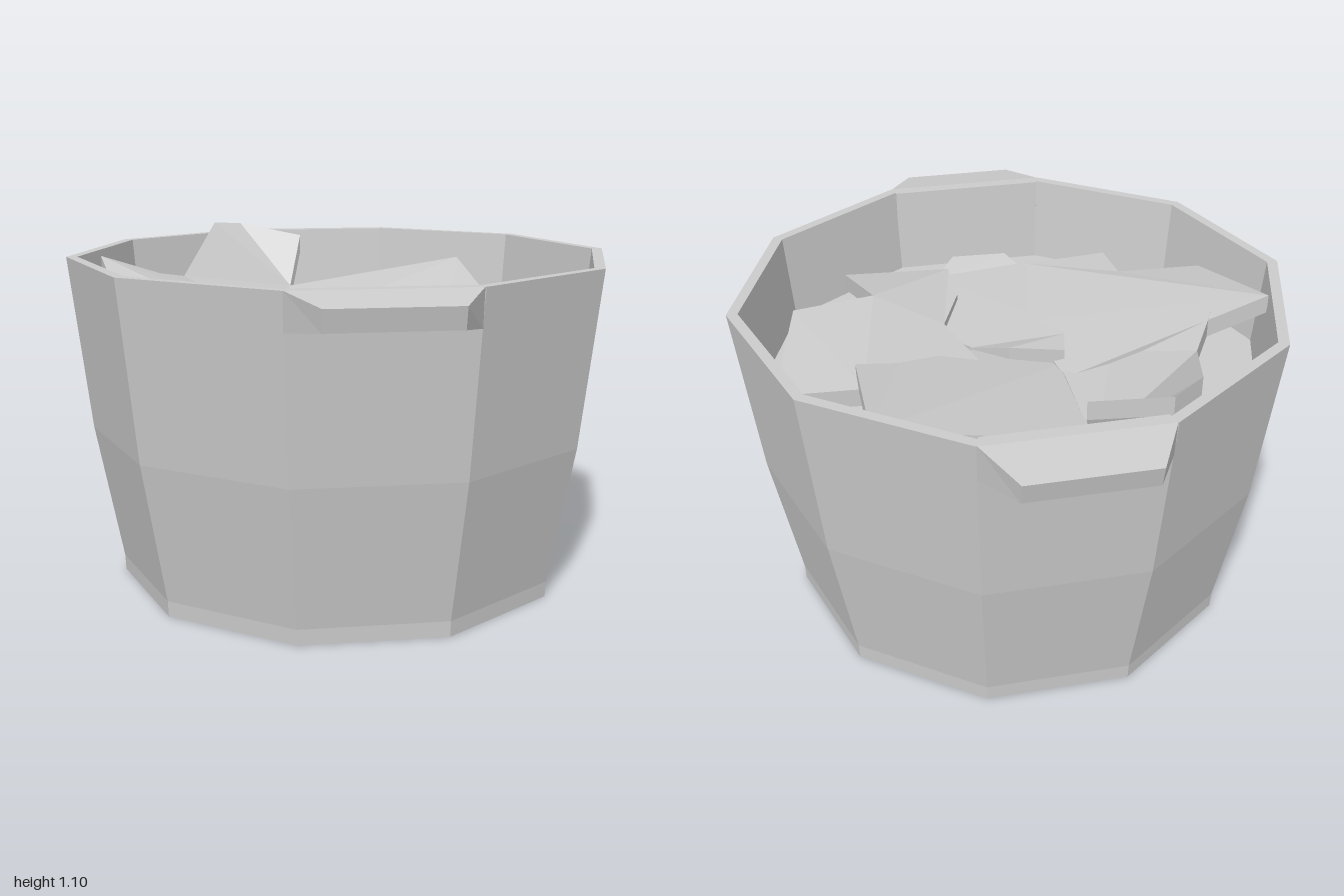
import * as THREE from 'three';

const material = new THREE.MeshStandardMaterial({ color: 0xcccccc, flatShading: true });

function addMesh(parent, geometry, name) {
  const flat = geometry.index ? geometry.toNonIndexed() : geometry;
  flat.computeVertexNormals();
  const mesh = new THREE.Mesh(flat, material);
  mesh.name = name;
  parent.add(mesh);
  return mesh;
}

// Slab with a free-form top outline of [x, y, z] corners and a given thickness
function slab(outline, thickness = 0.06) {
  let top = outline.map((p) => new THREE.Vector3(...p));
  const flatten = (pts) => pts.map((p) => new THREE.Vector2(p.x, -p.z));
  if (THREE.ShapeUtils.isClockWise(flatten(top))) top.reverse();
  const n = top.length;
  const positions = [];
  for (const p of top) positions.push(p.x, p.y, p.z);
  for (const p of top) positions.push(p.x, p.y - thickness, p.z);
  const index = [];
  for (const [a, b, c] of THREE.ShapeUtils.triangulateShape(flatten(top), [])) {
    index.push(a, b, c, a + n, c + n, b + n);
  }
  for (let i = 0; i < n; i++) {
    const j = (i + 1) % n;
    index.push(i, i + n, j + n, i, j + n, j);
  }
  const g = new THREE.BufferGeometry();
  g.setAttribute('position', new THREE.Float32BufferAttribute(positions, 3));
  g.setIndex(index);
  return g;
}

// Tapered grip: rectangular section shrinking from the wall outwards
function handleGeometry() {
  const sections = [
    { w: 0.26, z0: 0.8, z1: 0.8, y0: 0.945, y1: 1.06 },
    { w: 0.27, z0: 0.83, z1: 0.842, y0: 0.945, y1: 1.06 },
    { w: 0.187, z0: 0.985, z1: 1.0, y0: 0.97, y1: 1.035 },
  ];
  const positions = [];
  for (const { w, z0, z1, y0, y1 } of sections) {
    positions.push(-w, y0, z0, w, y0, z0, w, y1, z1, -w, y1, z1);
  }
  const index = [];
  for (let s = 0; s < 2; s++) {
    for (let i = 0; i < 4; i++) {
      const a = s * 4 + i, b = s * 4 + ((i + 1) % 4);
      index.push(a, b, b + 4, a, b + 4, a + 4);
    }
  }
  index.push(8, 9, 10, 8, 10, 11);
  const g = new THREE.BufferGeometry();
  g.setAttribute('position', new THREE.Float32BufferAttribute(positions, 3));
  g.setIndex(index);
  return g;
}

export function createModel() {
  const model = new THREE.Group();
  model.name = 'potWithSlabs';

  // Ten-sided pot: base, bulging wall, rim, inner wall and filled floor
  const profile = [
    [0, 0], [0.737, 0], [0.739, 0.05], [0.822, 0.5], [0.885, 1.06],
    [0.85, 1.06], [0.824, 0.77], [0, 0.77],
  ].map(([r, y]) => new THREE.Vector2(r, y));
  addMesh(model, new THREE.LatheGeometry(profile, 10, Math.PI / 2), 'pot');

  // Handles front and back
  addMesh(model, handleGeometry(), 'frontHandle');
  addMesh(model, handleGeometry(), 'backHandle').rotation.y = Math.PI;

  // Broken slabs heaped inside
  const contents = new THREE.Group();
  contents.name = 'contents';
  model.add(contents);
  const pieces = {
    raisedSlab: [
      [-0.385, 1.10, -0.70], [-0.11, 0.867, -0.62], [-0.13, 0.83, -0.15],
      [-0.3, 0.86, -0.12], [-0.61, 0.985, -0.155], [-0.51, 0.95, -0.32],
    ],
    raisedSlabEnd: [
      [-0.385, 1.10, -0.70], [-0.285, 1.09, -0.765], [-0.065, 1.05, -0.68], [-0.11, 0.867, -0.62],
    ],
    rightSlab: [
      [-0.785, 1.04, -0.185], [-0.71, 0.94, 0.25], [-0.445, 0.91, 0.32], [-0.445, 0.89, 0.515],
      [-0.17, 0.84, 0.585], [-0.08, 0.82, 0.2], [-0.13, 0.83, -0.2],
    ],
    backSlab: [
      [-0.12, 0.867, -0.61], [0.52, 0.97, -0.58], [0.515, 0.90, -0.10],
      [0.38, 0.87, -0.07], [0.1, 0.82, 0.05], [-0.14, 0.82, -0.1],
    ],
    leftSlab: [
      [0.77, 0.87, -0.185], [0.68, 0.92, 0.25], [0.41, 0.91, 0.32], [0.48, 0.85, 0.61],
      [0.11, 0.845, 0.59], [0.11, 0.84, 0.4], [0.19, 0.84, 0.2], [0.11, 0.84, -0.09],
      [0.15, 0.85, -0.32], [0.5, 0.86, -0.185],
    ],
    middleSlab: [
      [-0.18, 0.845, 0.585], [0.16, 0.815, 0.595], [0.22, 0.81, 0.2],
      [0.12, 0.82, 0.06], [-0.18, 0.86, 0.02], [-0.10, 0.845, 0.2],
    ],
    middleSlabTip: [
      [-0.18, 0.86, 0.02], [0.14, 0.82, 0.06], [0.02, 0.87, -0.05], [-0.15, 0.87, -0.1],
    ],
    middleSlabEnd: [
      [-0.18, 0.8, 0.585], [0.17, 0.79, 0.6], [0.07, 0.82, 0.735], [-0.12, 0.83, 0.705],
    ],
  };
  for (const [name, outline] of Object.entries(pieces)) addMesh(contents, slab(outline), name);

  return model;
}
